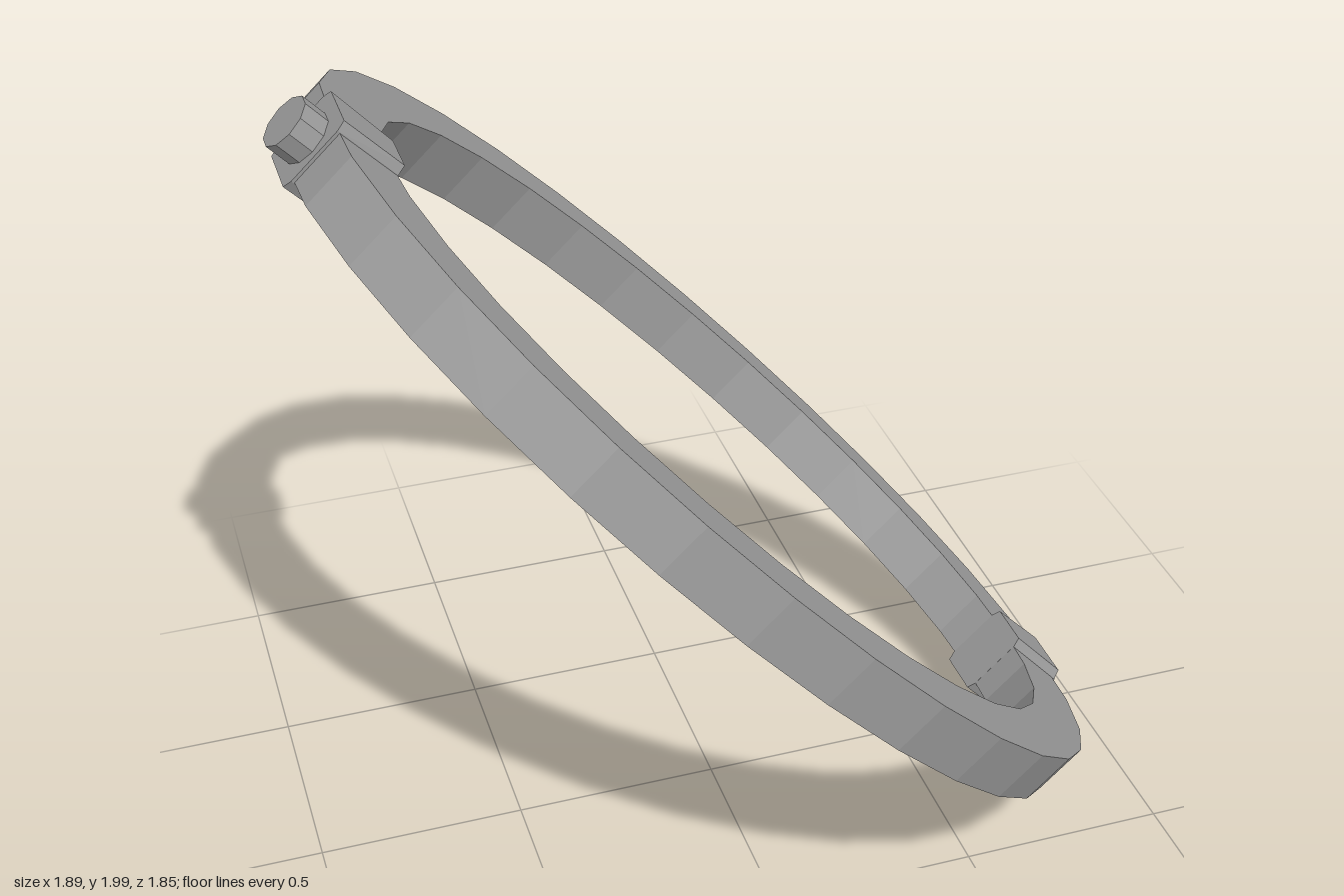
import * as THREE from 'three';

const material = new THREE.MeshStandardMaterial({ color: 0x999999, flatShading: true });

// Points of a faceted ellipse with half axes a and b, its long ends cut flat at maxX
function oval(a, b, maxX, sides = 32) {
  return Array.from({ length: sides }, (_, i) => {
    const t = (i / sides) * Math.PI * 2;
    return new THREE.Vector2(THREE.MathUtils.clamp(a * Math.cos(t), -maxX, maxX), b * Math.sin(t));
  });
}

// Oval band lying flat, centred on its thickness
function bandGeometry(thickness) {
  const band = new THREE.Shape(oval(1.262, 0.923, 1.25));
  band.holes.push(new THREE.Path(oval(1.092, 0.772, 1.092)));
  return new THREE.ExtrudeGeometry(band, { depth: thickness, bevelEnabled: false })
    .translate(0, 0, -thickness / 2)
    .rotateX(-Math.PI / 2);
}

// Chamfered block running outward along x, narrower at its inner end
function clampGeometry(inner, outer) {
  const halfWidth = 0.083, halfHeight = 0.0925, chamferX = 0.011, chamferY = 0.022;
  const corners = [];
  for (const [sx, sy] of [[1, -1], [1, 1], [-1, 1], [-1, -1]]) {
    const side = new THREE.Vector2(sx * halfWidth, sy * (halfHeight - chamferY));
    const face = new THREE.Vector2(sx * (halfWidth - chamferX), sy * halfHeight);
    corners.push(...(sx === sy ? [side, face] : [face, side]));
  }
  const geometry = new THREE.ExtrudeGeometry(new THREE.Shape(corners), {
    depth: outer - inner, bevelEnabled: false,
  });
  const position = geometry.attributes.position;
  for (let i = 0; i < position.count; i++) {
    const t = position.getZ(i) / (outer - inner);
    position.setX(i, position.getX(i) * THREE.MathUtils.lerp(0.83, 1, t));
  }
  return geometry.translate(0, 0, inner).rotateY(Math.PI / 2);
}

function addMesh(parent, name, geometry) {
  const mesh = new THREE.Mesh(geometry, material);
  mesh.name = name;
  parent.add(mesh);
}

export function createModel() {
  const model = new THREE.Group();
  model.name = 'tiltedRing';

  // Everything is built lying flat, then tilted as one
  const tilted = new THREE.Group();
  tilted.name = 'ringAssembly';
  tilted.position.y = 1;
  tilted.rotation.z = THREE.MathUtils.degToRad(-46.7);
  model.add(tilted);

  addMesh(tilted, 'ringBand', bandGeometry(0.137));

  // A clamp with a pivot pin at each end of the long axis
  for (const [name, angle] of [['lower', 0], ['upper', Math.PI]]) {
    const end = new THREE.Group();
    end.name = name + 'Pivot';
    end.rotation.y = angle;
    tilted.add(end);

    addMesh(end, name + 'Clamp', clampGeometry(1.082, 1.252));

    const pin = new THREE.CylinderGeometry(0.063, 0.063, 0.1, 10)
      .rotateZ(-Math.PI / 2)
      .translate(1.264, 0, 0);
    addMesh(end, name + 'Pin', pin);
  }
  return model;
}
